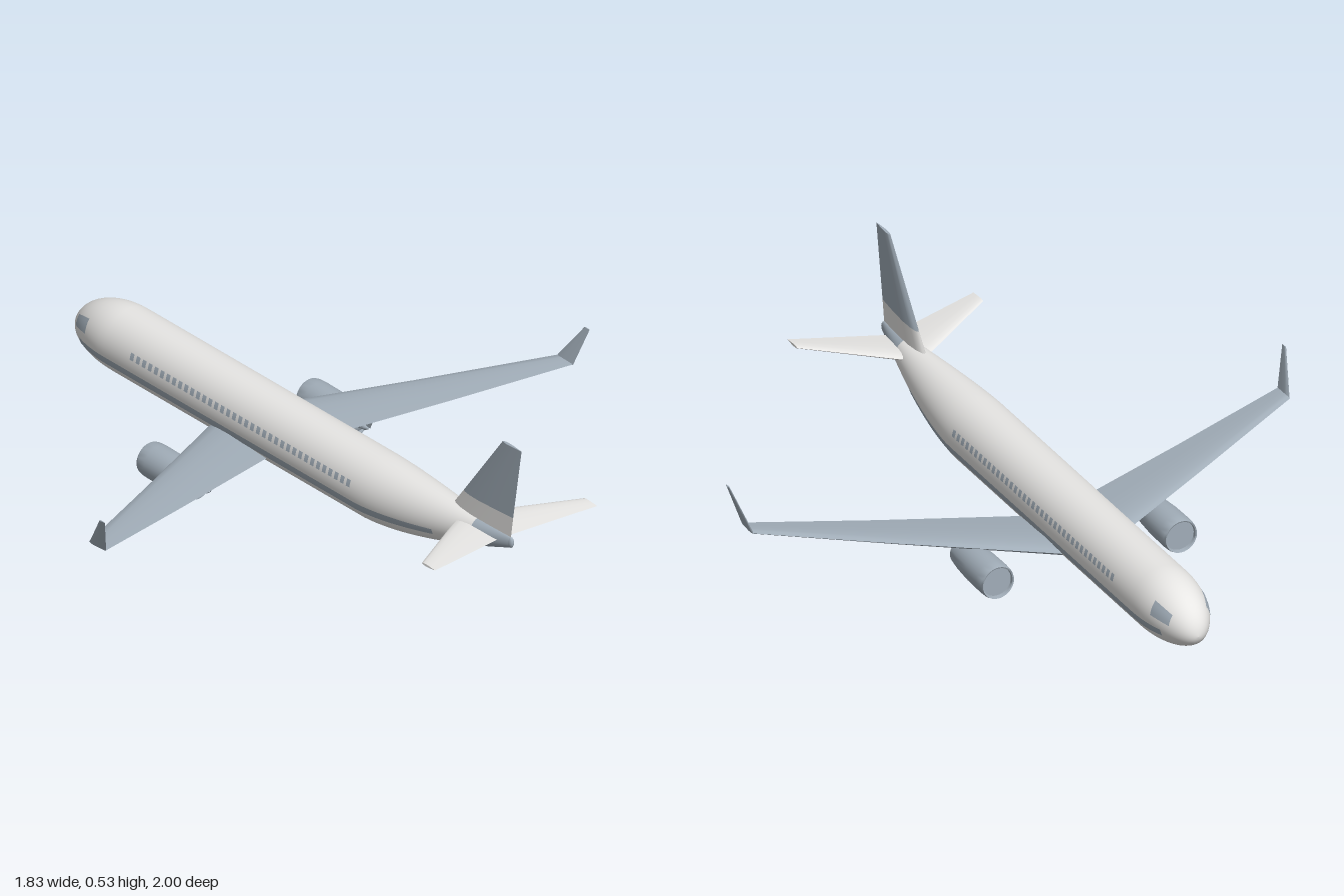
import * as THREE from 'three';
import { toCreasedNormals } from 'three/addons/utils/BufferGeometryUtils.js';

const mat = (name, color, side = THREE.FrontSide) => {
  const m = new THREE.MeshStandardMaterial({ color, side });
  m.name = name;
  return m;
};

// Skin a grid of points: rows of equal length, closed round each row if asked.
// pick(i, j) gives the material index of each cell.
function skin(rows, { closed = false, flip = false, pick = () => 0 } = {}) {
  const n = rows[0].length, buckets = [[], []];
  for (let i = 0; i < rows.length - 1; i++) {
    for (let j = 0; j < (closed ? n : n - 1); j++) {
      const k = (j + 1) % n;
      const a = i * n + j, b = i * n + k, c = (i + 1) * n + k, d = (i + 1) * n + j;
      buckets[pick(i, j)].push(...(flip ? [a, c, b, a, d, c] : [a, b, c, a, c, d]));
    }
  }
  const g = new THREE.BufferGeometry();
  g.setAttribute('position', new THREE.Float32BufferAttribute(rows.flat(2), 3));
  g.setIndex(buckets.flat());
  if (buckets[1].length) {
    g.addGroup(0, buckets[0].length, 0);
    g.addGroup(buckets[0].length, buckets[1].length, 1);
  }
  g.computeVertexNormals();
  return g;
}

// Fuselage cross-section at z: centre height, half height, half width
function section(z) {
  let top = 0.255, bottom = 0.045, w = 0.102;
  if (z < -0.78) {
    const f = Math.sqrt(Math.max(0, 1 - ((-0.78 - z) / 0.22) ** 2));
    top = 0.125 + 0.13 * f;
    bottom = 0.125 - 0.08 * f;
    w *= f;
  } else if (z > 0.36) {
    const f = ((z - 0.36) / 0.59) ** 1.5;
    top -= 0.025 * f;
    bottom += 0.15 * f;
    w *= 1 - 0.92 * f;
  }
  return { cy: (top + bottom) / 2, h: (top - bottom) / 2, w };
}
const hull = (z, a, off = 0) => {
  const { cy, h, w } = section(z);
  return [(w + off) * Math.cos(a), cy + (h + off) * Math.sin(a), z];
};

// Painted plate on the hull, between two heights given as sines of the hull angle
function plate(z0, z1, s0, s1, side, steps) {
  const a0 = Math.asin(s0), a1 = Math.asin(s1), rows = [];
  for (let i = 0; i <= steps; i++) {
    const row = [];
    for (let j = 0; j <= 4; j++) {
      const p = hull(z0 + (z1 - z0) * i / steps, a0 + (a1 - a0) * j / 4, 0.0015);
      row.push([p[0] * side, p[1], p[2]]);
    }
    rows.push(row);
  }
  return skin(rows, { flip: side < 0 });
}

// Lofted aerofoil; each station is [x, y, leading z, trailing z, thickness]
const FOIL = [[0, 0], [0.04, 0.26], [0.15, 0.44], [0.35, 0.5], [0.65, 0.32], [1, 0.02],
  [0.65, -0.32], [0.35, -0.5], [0.15, -0.44], [0.04, -0.26]];
function foil(stations, side = 1) {
  const first = stations[0], last = stations[stations.length - 1];
  const dx = last[0] - first[0], dy = last[1] - first[1], len = Math.hypot(dx, dy);
  const rows = stations.map(([x, y, z0, z1, t]) => FOIL.map(([c, u]) =>
    [side * (x - dy / len * u * t), y + dx / len * u * t, z0 + (z1 - z0) * c]));
  // collapsed rows close both ends
  const cap = ([x, y, z0, z1]) => FOIL.map(() => [side * x, y, (z0 + z1) / 2]);
  rows.unshift(cap(first));
  rows.push(cap(last));
  return toCreasedNormals(skin(rows, { closed: true, flip: side < 0 }), 0.7);
}

export function createModel() {
  const model = new THREE.Group();
  model.name = 'airliner';
  const white = mat('white paint', 0xeeedeb);
  const grey = mat('blue grey paint', 0xa1adb8);
  const add = (name, geometry, material, parent = model) => {
    const m = new THREE.Mesh(geometry, material);
    m.name = name;
    parent.add(m);
    return m;
  };

  // Fuselage with grey belly and tail cone
  const zs = [], SEG = 48;
  for (let i = 0; i <= 14; i++) zs.push(-0.78 - 0.22 * Math.cos(i / 14 * Math.PI / 2));
  for (let i = 1; i <= 6; i++) zs.push(-0.78 + 1.14 * i / 6);
  for (let i = 1; i <= 15; i++) zs.push(0.36 + 0.45 * i / 15);
  for (let i = 1; i <= 5; i++) zs.push(0.81 + 0.14 * i / 5);
  const rings = zs.map(z => Array.from({ length: SEG }, (_, j) => hull(z, j / SEG * Math.PI * 2)));
  const body = skin(rings, {
    closed: true,
    pick: (i, j) => (zs[i] > 0.805 || (j >= 32 && j < 40 && zs[i] > -0.93) ? 1 : 0),
  });
  add('fuselage', body, [white, grey]);
  const end = section(0.95);
  const tailCap = add('tailConeEnd', new THREE.SphereGeometry(1, 16, 10), grey);
  tailCap.scale.set(end.w, end.h, 0.012);
  tailCap.position.set(0, end.cy, 0.95);

  // Tail fin: white root, grey upper part
  const finMid = [0, 0.297, 0.738, 0.962, 0.021];
  add('finRoot', foil([[0, 0.215, 0.675, 0.95, 0.026], finMid]), white);
  add('fin', foil([finMid, [0, 0.533, 0.915, 1.0, 0.01]]), grey);

  for (const side of [1, -1]) {
    const half = new THREE.Group();
    half.name = side > 0 ? 'leftSide' : 'rightSide';
    model.add(half);

    // Wing and upturned tip
    add('wing', foil([
      [0, 0.083, -0.36, -0.08, 0.036],
      [0.1, 0.094, -0.308, -0.053, 0.032],
      [0.5, 0.127, -0.1, 0.062, 0.018],
      [0.88, 0.163, 0.097, 0.172, 0.008],
    ], side), grey, half);
    add('winglet', foil([[0.878, 0.161, 0.097, 0.172, 0.007], [0.912, 0.281, 0.184, 0.207, 0.004]], side), grey, half);

    // Tailplane
    add('tailplane', foil([[0, 0.207, 0.72, 0.905, 0.022], [0.305, 0.236, 0.915, 0.975, 0.007]], side), white, half);

    // Engine: fan face, cowl, exhaust and plug in one turned profile
    const profile = [[0, -0.316], [0.046, -0.316], [0.047, -0.325], [0.051, -0.327], [0.0535, -0.318],
      [0.055, -0.29], [0.054, -0.22], [0.049, -0.15], [0.043, -0.107], [0.039, -0.107], [0.037, -0.15],
      [0.028, -0.15], [0.024, -0.1], [0.012, -0.095], [0.009, -0.07], [0, -0.055]];
    const turned = new THREE.LatheGeometry(profile.map(p => new THREE.Vector2(...p)), 32);
    turned.rotateX(Math.PI / 2);
    add('engine', toCreasedNormals(turned, 0.6), grey, half).position.set(side * 0.3, 0.056, 0);
    add('pylon', foil([
      [side * 0.3, 0.06, -0.22, -0.05, 0.014],
      [side * 0.3, 0.108, -0.27, -0.03, 0.016],
    ]), grey, half);

    // Painted stripe, cockpit window and cabin windows
    add('stripe', plate(-0.915, 0.67, -0.43, -0.19, side, 60), grey, half);
    add('cockpitWindow', plate(-0.945, -0.875, 0.15, 0.6, side, 8), grey, half);
    for (let i = 0; i < 37; i++) {
      const z = -0.66 + i * 0.0273;
      add('cabinWindow', plate(z, z + 0.016, 0.19, 0.39, side, 1), grey, half);
    }
  }
  return model;
}
